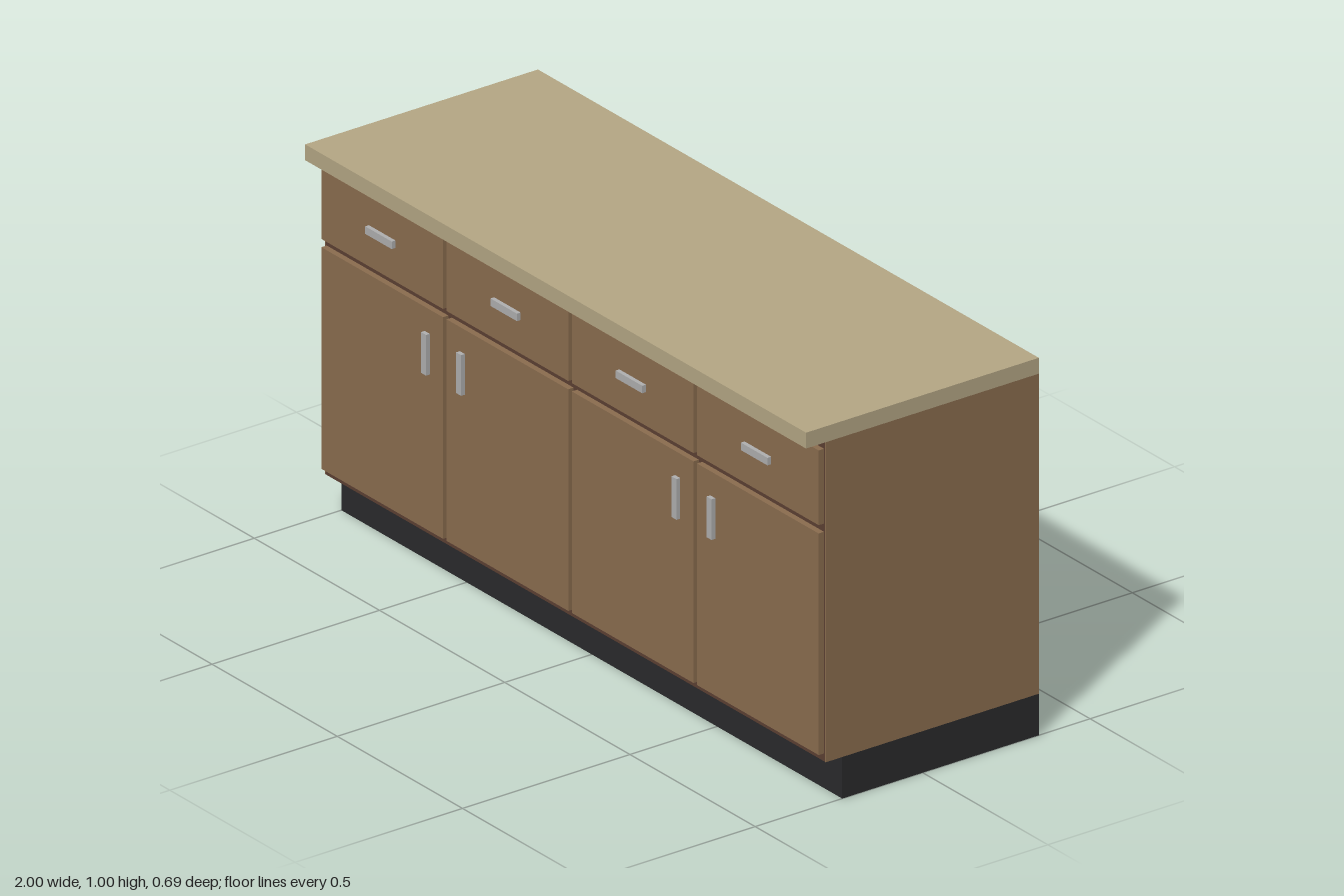
import * as THREE from 'three';

const material = (color) => new THREE.MeshStandardMaterial({ color });

export function createModel() {
  const model = new THREE.Group();
  model.name = 'kitchenCounter';

  const wood = material(0x8b6d4f);
  const darkWood = material(0x5c4033);
  const stone = material(0xb5a785);
  const black = material(0x2a2a2c);
  const metal = material(0xb0b0b0);

  // Box given by its lower and upper limits on each axis
  function box(name, mat, [x0, x1], [y0, y1], [z0, z1], parent = model) {
    const mesh = new THREE.Mesh(new THREE.BoxGeometry(x1 - x0, y1 - y0, z1 - z0), mat);
    mesh.position.set((x0 + x1) / 2, (y0 + y1) / 2, (z0 + z1) / 2);
    mesh.name = name;
    parent.add(mesh);
  }

  const back = -0.347;
  const front = 0.289;
  const face = 0.305;
  const grip = 0.316;

  // Body: recessed plinth, dark carcass, side panels and worktop
  box('toeKick', black, [-1, 1], [0, 0.11], [back, 0.24]);
  box('carcass', darkWood, [-0.997, 0.997], [0.11, 0.958], [back, front]);
  box('rightSidePanel', wood, [-1, -0.997], [0.11, 0.958], [back, front]);
  box('leftSidePanel', wood, [0.997, 1], [0.11, 0.958], [back, front]);
  box('worktop', stone, [-1, 1], [0.958, 1], [back, 0.348]);

  // Four bays, each with a drawer above a door; door pulls meet in pairs
  const doorHandleX = [-0.57, -0.43, 0.43, 0.57];
  doorHandleX.forEach((hx, i) => {
    const cx = -0.75 + i * 0.5;
    const width = [cx - 0.243, cx + 0.243];

    const drawer = new THREE.Group();
    drawer.name = 'drawer';
    box('drawerFront', wood, width, [0.74, 0.938], [front, face], drawer);
    box('drawerHandle', metal, [cx - 0.053, cx + 0.053], [0.829, 0.849], [face, grip], drawer);

    const door = new THREE.Group();
    door.name = 'door';
    box('doorPanel', wood, width, [0.131, 0.718], [front, face], door);
    box('doorHandle', metal, [hx - 0.01, hx + 0.01], [0.546, 0.654], [face, grip], door);

    model.add(drawer, door);
  });

  return model;
}
